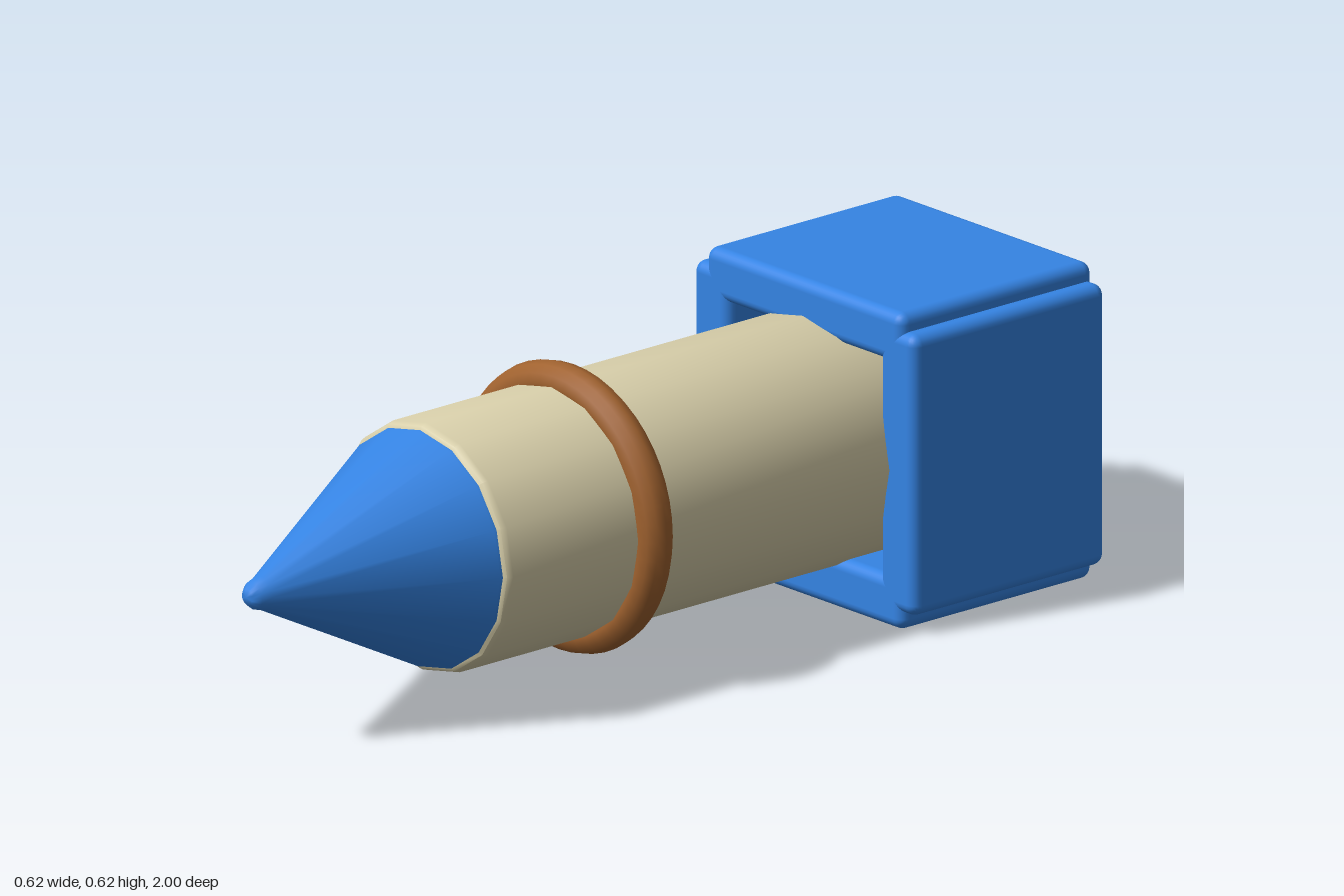
import * as THREE from 'three';
import { toCreasedNormals } from 'three/addons/utils/BufferGeometryUtils.js';
import { RoundedBoxGeometry } from 'three/addons/geometries/RoundedBoxGeometry.js';

const AXIS_Y = 0.31;
const mat = (color) => new THREE.MeshStandardMaterial({ color });

export function createModel() {
  const model = new THREE.Group();
  const blue = mat(0x3584e4), cream = mat(0xd9d0ab), brown = mat(0xa0622f), slate = mat(0x3a4650);

  const add = (name, geometry, material, x = 0, y = 0, z = 0) => {
    const mesh = new THREE.Mesh(geometry, material);
    mesh.name = name;
    mesh.position.set(x, y + AXIS_Y, z);
    model.add(mesh);
    return mesh;
  };

  // Sixteen-sided turned part along z; profile is [radius, z] from back to front
  const turned = (profile) => {
    const points = profile.map(([r, z]) => new THREE.Vector2(r, z));
    const geometry = new THREE.LatheGeometry(points, 16).rotateX(Math.PI / 2);
    return toCreasedNormals(geometry, 0.75);
  };

  // Main tube, with slightly bevelled ends
  add('body', turned([
    [0, -0.87], [0.222, -0.87], [0.235, -0.865], [0.242, -0.85],
    [0.242, 0.55], [0.238, 0.562], [0.228, 0.568], [0, 0.568],
  ]), cream);

  // Pointed nose with a rounded tip
  add('noseCone', turned([
    [0, 0.56], [0.232, 0.56], [0.23, 0.572],
    [0.033, 0.962], [0.027, 0.982], [0.015, 0.996], [0, 1],
  ]), blue);

  // Ring around the tube
  add('ring', new THREE.TorusGeometry(0.243, 0.037, 12, 48), brown, 0, 0, 0.203);

  // Plug at the back end
  add('tailPlug', turned([
    [0, -1], [0.138, -1], [0.153, -0.993], [0.163, -0.975], [0.163, -0.84], [0, -0.84],
  ]), slate);

  // Four slabs forming the square tail box, open at its corners inside
  const thickness = 0.1, offset = 0.31 - thickness / 2;
  ['topPanel', 'leftPanel', 'bottomPanel', 'rightPanel'].forEach((name, i) => {
    const angle = i * Math.PI / 2;
    const panel = add(name, new RoundedBoxGeometry(0.55, thickness, 0.48, 3, 0.022), blue,
      Math.sin(angle) * offset, Math.cos(angle) * offset, -0.625);
    panel.rotation.z = -angle;
  });

  return model;
}
